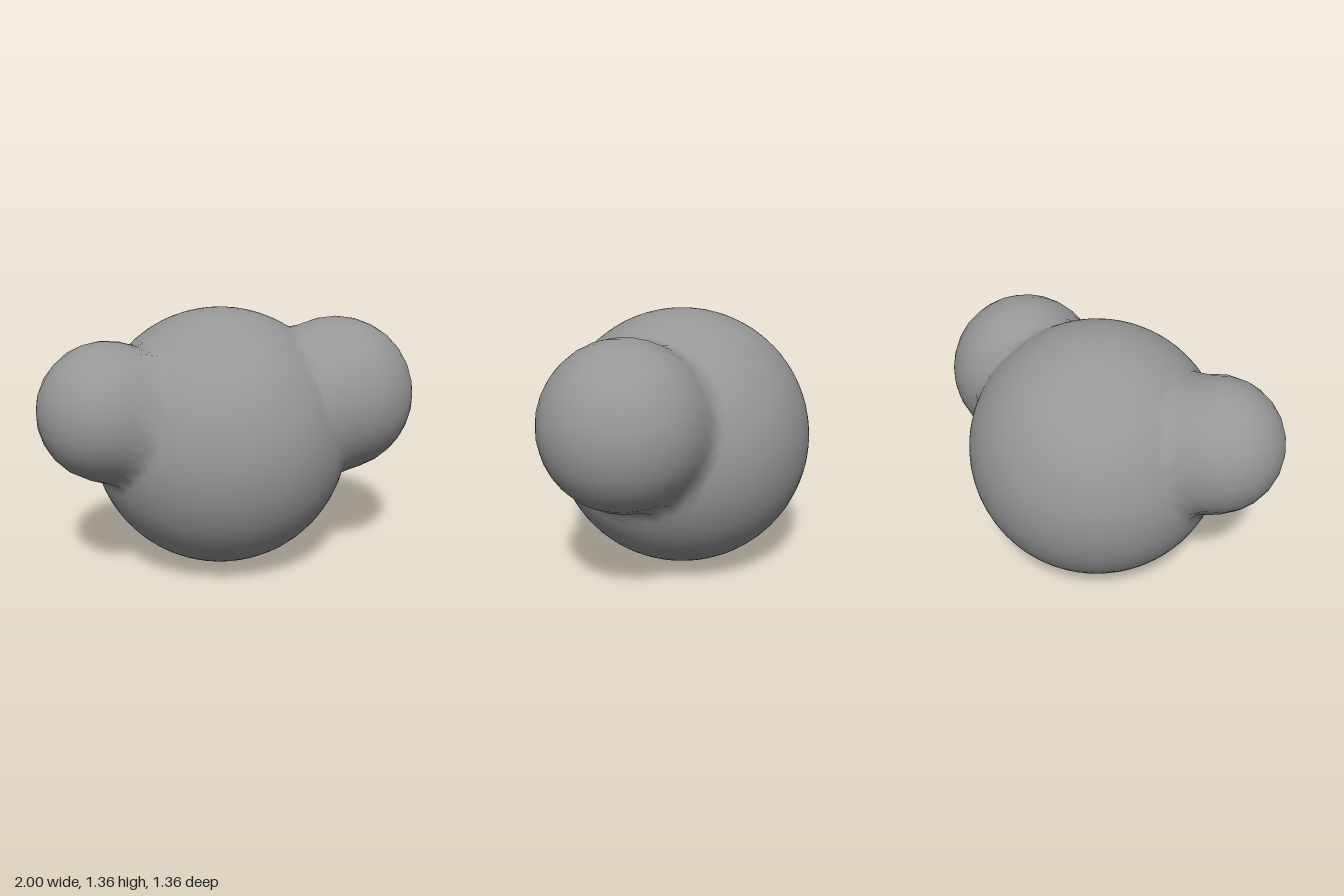
import * as THREE from 'three';
import { mergeVertices } from 'three/addons/utils/BufferGeometryUtils.js';

const CENTRE = new THREE.Vector3(-0.02, 0.68, 0);
const RADIUS = 0.682;
const BLEND = 0.06;

// Side balls, the left one larger; centres relative to the central ball
const LOBES = [
  { centre: new THREE.Vector3(0.585, 0.89, 0.14).sub(CENTRE), r: 0.416 },
  { centre: new THREE.Vector3(-0.65, 0.89, 0.13).sub(CENTRE), r: 0.35 },
];

// Distance along a direction to the far side of a ball, or 0 where it misses
function reach(direction, { centre, r }) {
  const along = direction.dot(centre);
  const disc = r * r - centre.lengthSq() + along * along;
  return disc > 0 && along > 0 ? along + Math.sqrt(disc) : 0;
}

// Larger of two distances, with a soft crease where they are close
function softMax(a, b) {
  const h = Math.max(BLEND - Math.abs(a - b), 0);
  return Math.max(a, b) + h * h / (4 * BLEND);
}

export function createModel() {
  const group = new THREE.Group();
  group.name = 'fusedBalls';

  // One closed skin: a sphere pushed outwards to cover both side balls
  let skin = new THREE.IcosahedronGeometry(1, 13);
  skin.deleteAttribute('normal');
  skin.deleteAttribute('uv');
  skin = mergeVertices(skin);

  const position = skin.attributes.position;
  const p = new THREE.Vector3();
  for (let i = 0; i < position.count; i++) {
    p.fromBufferAttribute(position, i).normalize();
    const distance = LOBES.reduce((far, ball) => softMax(far, reach(p, ball)), RADIUS);
    p.multiplyScalar(distance).add(CENTRE);
    position.setXYZ(i, p.x, p.y, p.z);
  }
  skin.computeVertexNormals();

  const body = new THREE.Mesh(skin, new THREE.MeshStandardMaterial({ color: 0x979797 }));
  body.name = 'centralBallWithSideBalls';
  group.add(body);
  return group;
}
